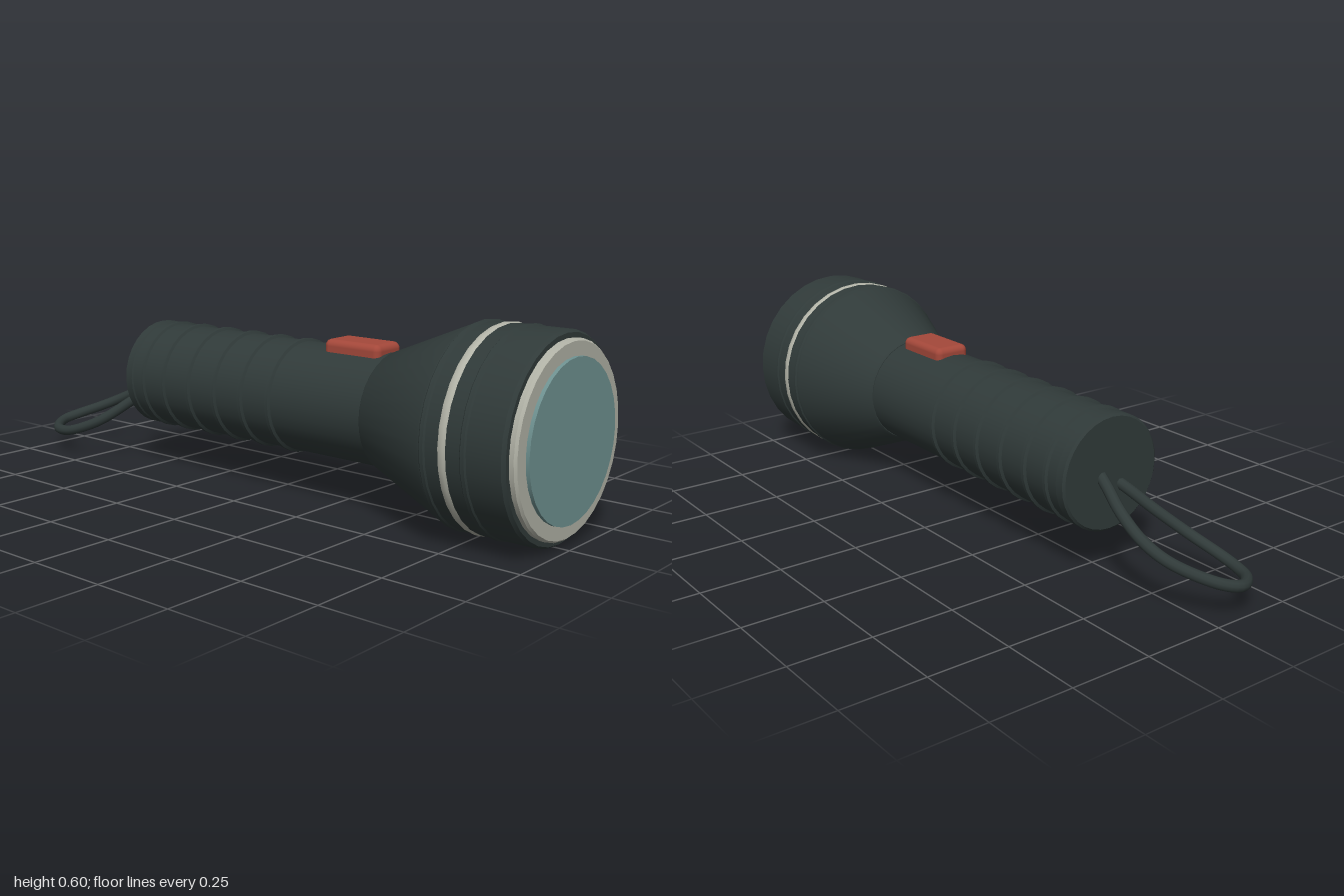
import * as THREE from 'three';
import { toCreasedNormals } from 'three/addons/utils/BufferGeometryUtils.js';
import { RoundedBoxGeometry } from 'three/addons/geometries/RoundedBoxGeometry.js';

const AXIS_Y = 0.3; // height of the torch's long axis

export function createModel() {
  const group = new THREE.Group();
  const material = (name, color) => {
    const m = new THREE.MeshStandardMaterial({ color });
    m.name = name;
    return m;
  };
  const rubber = material('dark rubber', 0x303a39);
  const metal = material('pale metal', 0xb2b3a7);
  const glass = material('lens glass', 0x6f9291);
  const red = material('switch red', 0xa4483a);

  const add = (name, geometry, mat) => {
    const mesh = new THREE.Mesh(geometry, mat);
    mesh.name = name;
    group.add(mesh);
    return mesh;
  };

  // Solid of revolution along x; the profile lists [x, radius] from back to front
  const turned = (name, profile, mat) => {
    const points = profile.map(([x, r]) => new THREE.Vector2(r, x));
    const geometry = toCreasedNormals(new THREE.LatheGeometry(points, 32), 0.5);
    geometry.rotateZ(-Math.PI / 2);
    geometry.translate(0, AXIS_Y, 0);
    return add(name, geometry, mat);
  };

  // Raised ring with softened edges
  const ring = (name, x, width, inner, outer, mat) => {
    const h = width / 2;
    return turned(name, [
      [x - h, inner - 0.01], [x - h, inner], [x - h * 0.5, outer],
      [x + h * 0.5, outer], [x + h, inner], [x + h, inner - 0.01],
    ], mat);
  };

  // Handle and tail cap
  turned('handle', [[-0.54, 0], [-0.54, 0.17], [0.43, 0.17], [0.43, 0]], rubber);
  turned('tailCap', [
    [-0.568, 0], [-0.568, 0.167], [-0.562, 0.174], [-0.535, 0.174], [-0.53, 0.169], [-0.53, 0],
  ], rubber);
  ring('tailRing', -0.485, 0.022, 0.169, 0.177, rubber);
  for (let i = 0; i < 5; i++) {
    ring('gripRing', -0.39 + i * 0.114, 0.022, 0.169, 0.178, rubber);
  }

  // Flared head
  turned('head', [
    [0.415, 0], [0.415, 0.172], [0.422, 0.179], [0.70, 0.293], [0.71, 0.295],
    [0.958, 0.295], [0.968, 0.288], [0.968, 0],
  ], rubber);
  for (const x of [0.718, 0.845]) ring('headRing', x, 0.022, 0.294, 0.299, rubber);
  ring('headBand', 0.78, 0.024, 0.295, 0.298, metal);

  // Bezel and lens
  turned('bezel', [
    [0.95, 0.273], [0.982, 0.274], [0.989, 0.268], [0.989, 0.22],
  ], metal);
  turned('lens', [[0.98, 0.228], [1.0, 0.228], [1.0, 0]], glass);

  // Sliding switch on top of the handle
  add('switch', new RoundedBoxGeometry(0.204, 0.06, 0.118, 3, 0.02), red)
    .position.set(0.293, 0.467, 0);

  // Wrist strap looping down from the tail cap
  const path = [
    [-0.54, 0.305, -0.025], [-0.60, 0.275, -0.04], [-0.68, 0.238, -0.065],
    [-0.775, 0.193, -0.076], [-0.85, 0.158, -0.06], [-0.91, 0.128, -0.018],
    [-0.968, 0.1, 0.045], [-0.983, 0.086, 0.1], [-0.94, 0.076, 0.165],
    [-0.885, 0.076, 0.19], [-0.825, 0.086, 0.195], [-0.72, 0.128, 0.163],
    [-0.64, 0.19, 0.104], [-0.575, 0.25, 0.05], [-0.54, 0.275, 0.025],
  ].map((p) => new THREE.Vector3(...p));
  add('wristStrap',
    new THREE.TubeGeometry(new THREE.CatmullRomCurve3(path), 72, 0.017, 10), rubber);

  return group;
}
